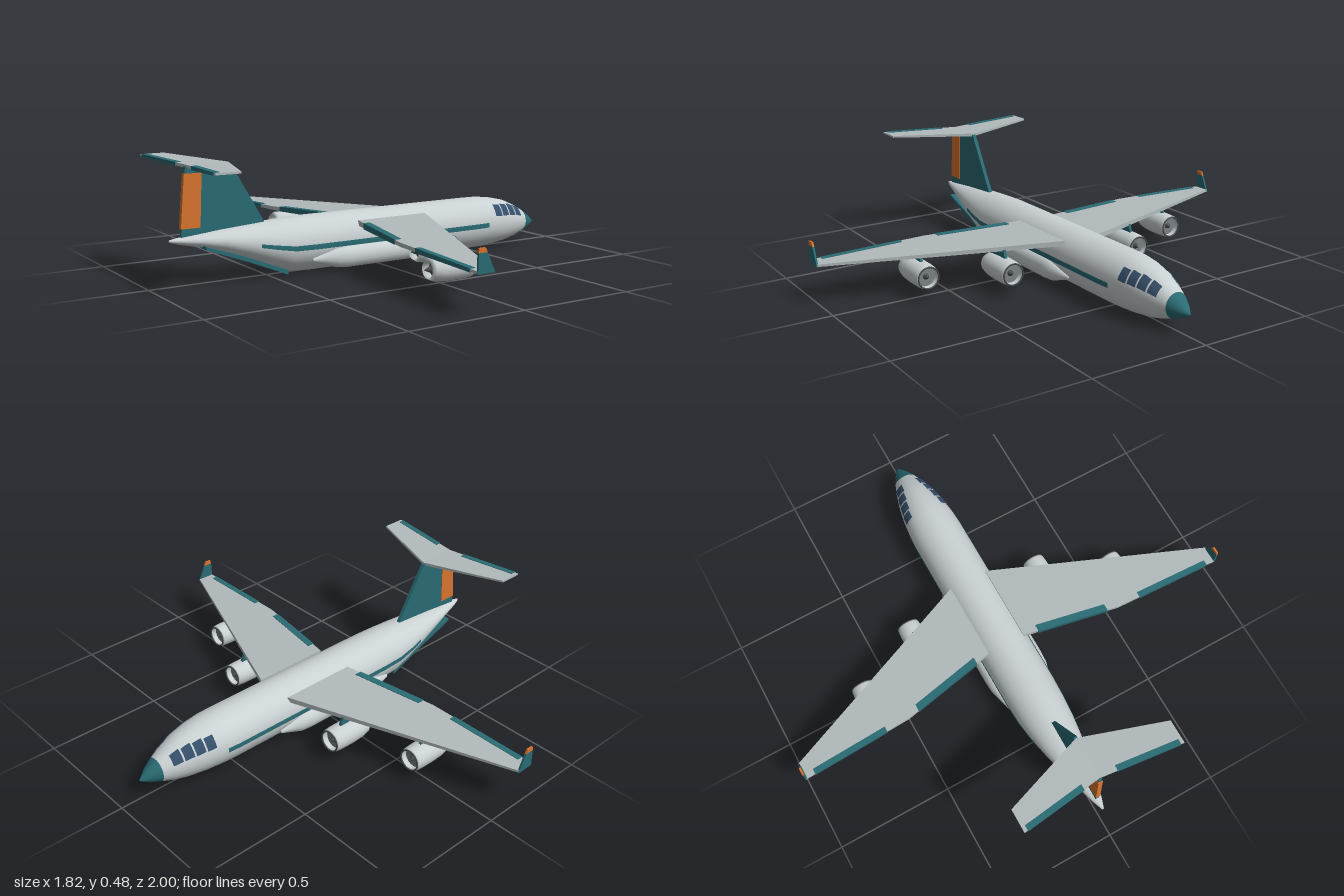
import * as THREE from 'three';

const mat = (color) => new THREE.MeshStandardMaterial({ color, side: THREE.DoubleSide });
const BODY = mat(0xcad1d3), WING = mat(0xb2babc), TEAL = mat(0x2a6c74), ORANGE = mat(0xd9752e),
  GLASS = mat(0x36506b), DARK = mat(0x4a4f53), FAN = mat(0x7c8285);

// Fuselage stations: x, top, bottom, half width
const STATIONS = [
  [-0.91, 0.184, 0.173, 0.005], [-0.87, 0.19, 0.162, 0.02], [-0.79, 0.197, 0.144, 0.042],
  [-0.7, 0.206, 0.116, 0.065], [-0.6, 0.213, 0.077, 0.086], [-0.5, 0.22, 0.035, 0.102],
  [-0.42, 0.225, 0.005, 0.11], [-0.32, 0.228, 0, 0.114], [0.5, 0.228, 0, 0.114],
  [0.57, 0.227, 0.002, 0.111], [0.64, 0.22, 0.006, 0.103], [0.72, 0.202, 0.015, 0.087],
  [0.78, 0.176, 0.029, 0.069], [0.83, 0.148, 0.047, 0.05], [0.87, 0.121, 0.062, 0.03],
  [0.9, 0.095, 0.077, 0.009], [0.91, 0.086, 0.085, 0.0005],
];

// Point on the fuselage skin at station x and angle a (0 = left side, PI/2 = top)
function skin(x, a, off) {
  let i = 0;
  while (i < STATIONS.length - 2 && x > STATIONS[i + 1][0]) i++;
  const A = STATIONS[i], B = STATIONS[i + 1], t = (x - A[0]) / (B[0] - A[0]);
  const [top, bottom, w] = [1, 2, 3].map((k) => A[k] + (B[k] - A[k]) * t);
  return [x, (top + bottom) / 2 + ((top - bottom) / 2 + off) * Math.sin(a), (w + off) * Math.cos(a)];
}

// Piece of skin between two stations and two angles
function skinPatch(x0, x1, a0, a1, off, n) {
  const xs = [x0, ...STATIONS.map((s) => s[0]).filter((x) => x > x0 + 1e-4 && x < x1 - 1e-4), x1];
  const pos = [], idx = [];
  xs.forEach((x, i) => {
    for (let j = 0; j <= n; j++) {
      pos.push(...skin(x, a0 + ((a1 - a0) * j) / n, off));
      if (i < xs.length - 1 && j < n) {
        const p = i * (n + 1) + j, q = p + n + 1;
        idx.push(p, q, p + 1, q, q + 1, p + 1);
      }
    }
  });
  const g = new THREE.BufferGeometry();
  g.setAttribute('position', new THREE.Float32BufferAttribute(pos, 3));
  g.setIndex(idx);
  g.computeVertexNormals();
  return g;
}

const outline = (pts) => new THREE.Shape(pts.map((p) => new THREE.Vector2(...p)));

// Upright plate from an x,y outline
function plate(pts, thick, z = 0) {
  const g = new THREE.ExtrudeGeometry(outline(pts), { depth: thick, bevelEnabled: false });
  return g.translate(0, 0, z - thick / 2);
}

// Flat-lying plate from an x,z outline; height and thickness vary with span
function airfoil(pts, side, height, thick) {
  const g = new THREE.ExtrudeGeometry(outline(pts.map(([x, z]) => [x, -side * z])), { depth: 1, bevelEnabled: false });
  g.rotateX(-Math.PI / 2);
  const p = g.attributes.position;
  for (let i = 0; i < p.count; i++) {
    const z = Math.abs(p.getZ(i));
    p.setY(i, height(z) + (p.getY(i) - 0.5) * thick(z));
  }
  g.computeVertexNormals();
  return g;
}

// Strip along a trailing edge between two x,z points
const strip = ([xa, za], [xb, zb], chord) =>
  [[xa - 0.003, za], [xb - 0.003, zb], [xb + chord, zb], [xa + chord, za]];

// Body turned about the x axis from x,radius points
const turned = (pts, seg) =>
  new THREE.LatheGeometry(pts.map(([x, r]) => new THREE.Vector2(r, x)), seg).rotateZ(-Math.PI / 2);

function engine(mesh, x, z, pylonTop) {
  const e = new THREE.Group();
  e.name = 'engine';
  const y = 0.091;
  const add = (name, g, m) => e.add(mesh(name, g.translate(x, y, z), m, true));
  add('nacelle', turned([[-0.07, 0.03], [-0.1, 0.034], [-0.085, 0.043], [-0.05, 0.05], [0, 0.0525],
    [0.06, 0.052], [0.09, 0.0495], [0.1, 0.046], [0.095, 0.043], [0.07, 0.041]], 24), BODY);
  add('intakeRing', new THREE.TorusGeometry(0.0445, 0.0035, 8, 24).rotateY(Math.PI / 2).translate(0.098, 0, 0), DARK);
  add('fan', new THREE.CircleGeometry(0.043, 24).rotateY(Math.PI / 2).translate(0.073, 0, 0), FAN);
  add('spinner', turned([[0.073, 0.013], [0.083, 0.009], [0.092, 0.0005]], 16), DARK);
  add('exhaust', turned([[-0.07, 0.032], [-0.07, 0.02], [-0.115, 0.001]], 16), DARK);
  e.add(mesh('pylon', plate([[x - 0.075, y + 0.04], [x + 0.045, y + 0.045], [x + 0.03, pylonTop],
    [x - 0.09, pylonTop]], 0.012, z), TEAL, true));
  return e;
}

export function createModel() {
  const model = new THREE.Group();
  model.name = 'transportAircraft';
  const mesh = (name, geometry, material, keep) => {
    const m = new THREE.Mesh(geometry, material);
    m.name = name;
    if (!keep) model.add(m);
    return m;
  };
  const ring = [-Math.PI / 2, Math.PI * 1.5];

  // Fuselage, nose and rear ramp
  mesh('fuselage', skinPatch(-0.91, 0.83, ...ring, 0, 40), BODY);
  mesh('tailCap', new THREE.SphereGeometry(0.0055, 12, 8).translate(-0.908, 0.1785, 0), BODY);
  mesh('noseCone', skinPatch(0.83, 0.91, ...ring, 0.0008, 40), TEAL);
  mesh('cargoRamp', plate([[-0.43, 0.002], [-0.6, 0.072], [-0.785, 0.141], [-0.785, 0.153],
    [-0.6, 0.09], [-0.43, 0.02]], 0.124), TEAL);

  // Fin and rudder
  mesh('fin', plate([[-0.865, 0.18], [-0.5, 0.205], [-0.65, 0.462], [-0.842, 0.462]], 0.016), TEAL);
  mesh('rudder', plate([[-0.866, 0.222], [-0.785, 0.222], [-0.775, 0.435], [-0.848, 0.435]], 0.02), ORANGE);

  const wingY = (z) => 0.186 - ((z - 0.085) / 0.915) * 0.026;
  const wingT = (z) => 0.022 - ((z - 0.085) / 0.915) * 0.012;
  const tailY = (z) => 0.462 + z * 0.033;
  const thicker = (f) => (z) => f(z) + 0.004;
  const tailT = (z) => 0.013 - z * 0.014;

  for (const s of [1, -1]) {
    // Main wing with flap and aileron
    mesh('wing', airfoil([[0.225, 0.085], [-0.14, 0.997], [-0.213, 0.997], [-0.195, 0.51], [-0.113, 0.085]],
      s, wingY, wingT), WING);
    mesh('flap', airfoil(strip([-0.126, 0.15], [-0.185, 0.46], 0.028), s, wingY, thicker(wingT)), TEAL);
    mesh('aileron', airfoil(strip([-0.199, 0.615], [-0.211, 0.955], 0.022), s, wingY, thicker(wingT)), TEAL);

    // Winglet
    mesh('winglet', plate([[-0.213, 0.154], [-0.138, 0.154], [-0.172, 0.228], [-0.211, 0.228]], 0.008, s * 0.996), TEAL);
    mesh('wingletTip', plate([[-0.211, 0.228], [-0.172, 0.228], [-0.18, 0.245], [-0.208, 0.245]], 0.008, s * 0.996), ORANGE);

    // Tailplane with elevator
    mesh('tailplane', airfoil([[-0.657, 0], [-0.777, 0.355], [-0.878, 0.355], [-0.835, 0]], s, tailY, tailT), WING);
    mesh('elevator', airfoil(strip([-0.844, 0.075], [-0.876, 0.34], 0.022), s, tailY, thicker(tailT)), TEAL);

    // Engines
    model.add(engine(mesh, 0.105, s * 0.315, 0.176), engine(mesh, -0.045, s * 0.615, 0.168));

    // Landing gear fairing
    mesh('gearFairing', turned([[-0.34, 0.0005], [-0.338, 0.008], [-0.23, 0.042], [-0.18, 0.046], [0.13, 0.046],
      [0.18, 0.042], [0.278, 0.008], [0.28, 0.0005]], 20).scale(1, 1, 0.82).translate(0, 0.058, s * 0.102), BODY);

    // Side stripe and cockpit panes, laid on the skin
    const side = (a0, a1) => (s > 0 ? [a0, a1] : [Math.PI - a1, Math.PI - a0]);
    mesh('sideStripe', skinPatch(-0.565, 0.56, ...side(-0.09, 0.09), 0.003, 4), TEAL);
    for (let i = 0; i < 4; i++) {
      const x = 0.608 + i * 0.047;
      mesh('cockpitPane', skinPatch(x, x + 0.04, ...side(0.32 + i * 0.02, 0.84 + i * 0.07), 0.003, 6), GLASS);
    }
  }
  return model;
}
